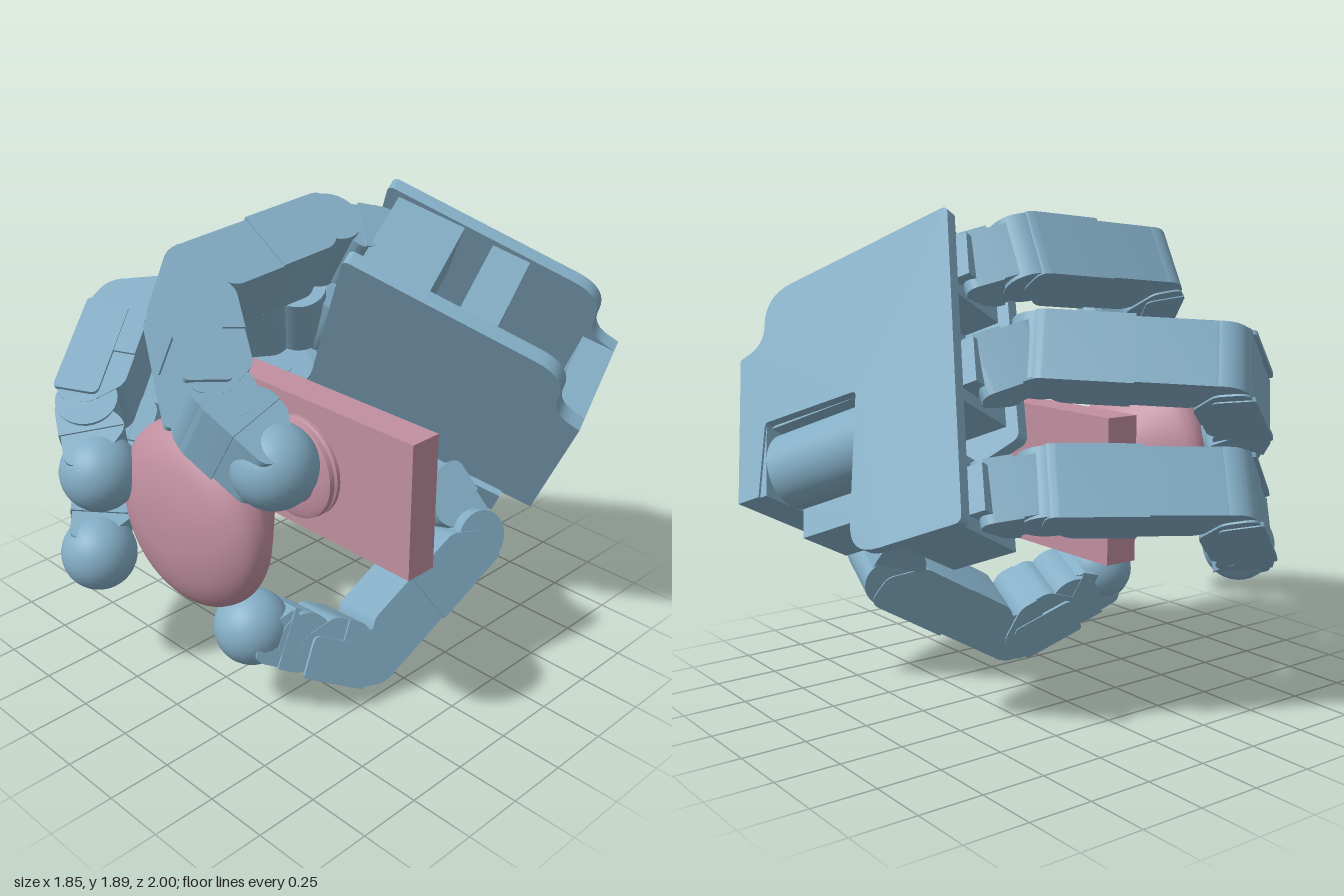
import * as THREE from 'three';
import { toCreasedNormals } from 'three/addons/utils/BufferGeometryUtils.js';

const V = (x, y, z) => new THREE.Vector3(x, y, z);
const metal = new THREE.MeshStandardMaterial({ color: 0x84aec6 });
const brass = new THREE.MeshStandardMaterial({ color: 0xc08fa0 });

function add(parent, name, geometry, material = metal) {
  const mesh = new THREE.Mesh(geometry, material);
  mesh.name = name;
  parent.add(mesh);
  return mesh;
}

function group(parent, name) {
  const g = new THREE.Group();
  g.name = name;
  parent.add(g);
  return g;
}

// Box given by its low and high corners
function block(parent, name, lo, hi, material) {
  const geo = new THREE.BoxGeometry(hi[0] - lo[0], hi[1] - lo[1], hi[2] - lo[2]);
  geo.translate((lo[0] + hi[0]) / 2, (lo[1] + hi[1]) / 2, (lo[2] + hi[2]) / 2);
  return add(parent, name, geo, material);
}

// Closed shape from corners [x, y, radius], each corner rounded by its radius
function roundedShape(corners) {
  const shape = new THREE.Shape();
  const n = corners.length;
  corners.forEach(([x, y, r = 0], i) => {
    const p = new THREE.Vector2(x, y);
    const toward = (c) => new THREE.Vector2(c[0], c[1]).sub(p).setLength(r).add(p);
    const a = r ? toward(corners[(i + n - 1) % n]) : p;
    if (i) shape.lineTo(a.x, a.y);
    else shape.moveTo(a.x, a.y);
    if (r) {
      const b = toward(corners[(i + 1) % n]);
      shape.quadraticCurveTo(x, y, b.x, b.y);
    }
  });
  shape.closePath();
  return shape;
}

function slab(corners, depth, z0 = 0) {
  const geo = new THREE.ExtrudeGeometry(roundedShape(corners), { depth, bevelEnabled: false, curveSegments: 8 });
  return toCreasedNormals(geo.translate(0, 0, z0), 0.6);
}

// One finger link from a to b: local x runs along it, y to the inside of the curl, z along the hinge
function link(parent, name, a, b, hinge, width, depth) {
  const g = group(parent, name);
  const along = b.clone().sub(a);
  const len = along.length();
  along.normalize();
  const inward = hinge.clone().cross(along).normalize();
  const axis = along.clone().cross(inward);
  g.applyMatrix4(new THREE.Matrix4().makeBasis(along, inward, axis).setPosition(a));
  const d = depth / 2;
  const s = -0.03, e = len + 0.02;
  // the far half is a little slimmer than the near half, leaving a seam
  const mid = len * 0.52;
  add(g, 'nearShell', slab([
    [s, -d, 0.05], [mid, -d], [mid, d], [0.09, d, 0.03], [s, d * 0.1, 0.03]], width, -width / 2));
  const farWidth = width - 0.016;
  add(g, 'farShell', slab([
    [mid - 0.01, -d + 0.006], [e, -d + 0.006, 0.05], [e, d * 0.1, 0.03],
    [len - 0.09, d, 0.03], [mid - 0.01, d]], farWidth, -farWidth / 2));
  return { g, len, d };
}

function hingePin(parent, at, hinge, radius, width) {
  const pin = add(parent, 'hinge', new THREE.CylinderGeometry(radius, radius, width, 28));
  pin.position.copy(at);
  pin.quaternion.setFromUnitVectors(V(0, 1, 0), hinge);
}

// Finger from its knuckle, two joints and fingertip centre
function finger(parent, name, [knuckle, joint, last, tip], width, depth = 0.235) {
  const g = group(parent, name);
  const hinge = joint.clone().sub(knuckle).cross(last.clone().sub(joint)).normalize();
  link(g, 'proximalLink', knuckle, joint, hinge, width, depth);
  const middle = link(g, 'middleLink', joint, last, hinge, width, depth);
  // thin side flanges along the back of the middle link
  for (const side of [-1, 1])
    add(middle.g, 'sideFlange', slab([
      [0.02, -middle.d - 0.014, 0.02], [middle.len - 0.02, -middle.d - 0.014, 0.02],
      [middle.len - 0.02, middle.d * 0.3, 0.03], [0.02, middle.d * 0.3, 0.03]],
    0.018, side * (width / 2 - 0.004) - 0.009));
  link(g, 'tipLink', last, tip, hinge, width * 0.94, depth);
  hingePin(g, knuckle, hinge, depth * 0.46, width * 0.96);
  hingePin(g, joint, hinge, depth * 0.48, width * 0.94);
  hingePin(g, last, hinge, depth * 0.48, width * 0.92);
  add(g, 'fingertip', new THREE.SphereGeometry(0.146, 32, 20)).position.copy(tip);
  return hinge;
}

// Palm in its own frame: x across the hand, y toward the fingers, z from back to palm face
function buildPalm(parent) {
  const palm = group(parent, 'palm');
  palm.applyMatrix4(new THREE.Matrix4()
    .makeBasis(V(0.5, 0.814, 0.29), V(-0.825, 0.349, 0.441), V(0.266, -0.45, 0.853))
    .setPosition(0.49, 0.786, -1));
  const outerEdge = [[0.62, 0], [0.65, 0.12, 0.08], [0.87, 0.13, 0.13], [0.92, 1.02, 0.03]];
  add(palm, 'backPlate', slab([
    [0, 0], ...outerEdge, [-0.35, 1.0, 0.03], [-0.35, 0.52, 0.13],
    [0.29, 0.57, 0.02], [0.3, 0.13, 0.02], [0, 0.1]], 0.05));
  add(palm, 'palmPlate', slab([[0, 0], ...outerEdge, [0.1, 1.02, 0.03], [0, 0.67, 0.03]], 0.06, 0.392));
  block(palm, 'wristBlock', [0, 0, 0.01], [0.62, 0.13, 0.44]);
  block(palm, 'innerWall', [0.29, 0.12, 0.04], [0.34, 0.75, 0.4]);
  block(palm, 'sidePillar', [0.72, 0.43, 0.04], [0.87, 0.58, 0.4]);
  // finger drives between the plates
  for (const x of [0.75, 0.3, -0.2]) {
    block(palm, 'fingerDrive', [x - 0.14, 0.7, 0.04], [x + 0.14, 0.97, 0.39]);
    block(palm, 'driveCap', [x - 0.09, 0.95, 0.09], [x + 0.09, 1.04, 0.32]);
  }
  // thumb drive in the notch, with its bracket under the thumb edge of the palm
  const drive = add(palm, 'thumbDrive', new THREE.CylinderGeometry(0.15, 0.15, 0.43, 40));
  drive.position.set(0.15, 0.345, 0.16);
  block(palm, 'thumbDriveBase', [0.01, 0.13, 0.16], [0.29, 0.56, 0.4]);
  block(palm, 'thumbBracket', [-0.11, 0.13, 0.22], [0.01, 0.56, 0.48]);
}

// Door plate with a turned knob on it
function buildKnob(parent) {
  const g = group(parent, 'doorKnob');
  block(g, 'doorPlate', [-0.46, 0.583, 0.02], [0.64, 1.135, 0.155], brass);
  const rose = [[0, 0.15], [0.19, 0.15], [0.203, 0.16], [0.203, 0.175], [0.19, 0.183],
    [0.203, 0.19], [0.2, 0.21], [0.18, 0.22], [0.13, 0.225], [0.11, 0.25]];
  const curve = new THREE.SplineCurve([[0.107, 0.26], [0.105, 0.36], [0.122, 0.41], [0.21, 0.5], [0.3, 0.59],
    [0.345, 0.64], [0.357, 0.685], [0.335, 0.745], [0.26, 0.8], [0.14, 0.835], [0, 0.845]]
    .map(([r, z]) => new THREE.Vector2(r, z)));
  const profile = [...rose.map(([r, z]) => new THREE.Vector2(r, z)), ...curve.getPoints(44)];
  profile[profile.length - 1].x = 0;
  const knob = add(g, 'knob', toCreasedNormals(new THREE.LatheGeometry(profile, 64), 0.6), brass);
  knob.rotation.x = Math.PI / 2;
  knob.position.set(0.09, 0.86, 0);
}

export function createModel() {
  const model = new THREE.Group();
  model.name = 'robotHandOnDoorKnob';
  buildPalm(model);
  buildKnob(model);

  // root in the palm, knuckle, two joints, fingertip
  const fingers = {
    indexFinger: [V(0.13, 1.64, -0.2), V(0.03, 1.7, 0), V(0, 1.645, 0.61), V(0.36, 1.39, 0.81), V(0.575, 1.25, 0.75)],
    middleFinger: [V(-0.11, 1.28, -0.31), V(-0.2, 1.35, -0.1), V(-0.62, 1.315, 0.42), V(-0.4, 1.09, 0.77), V(-0.245, 0.96, 0.855)],
    outerFinger: [V(-0.35, 0.87, -0.46), V(-0.46, 0.9, -0.26), V(-0.77, 0.88, 0.3), V(-0.52, 0.63, 0.66), V(-0.385, 0.535, 0.79)],
    thumb: [V(0.27, 0.66, -0.38), V(0.42, 0.47, -0.42), V(0.37, 0.145, 0.13), V(0.26, 0.28, 0.39), V(0.2, 0.355, 0.53)],
  };
  for (const [name, [root, ...joints]] of Object.entries(fingers)) {
    const hinge = finger(model, name, joints, name === 'thumb' ? 0.29 : 0.275);
    link(model, name + 'Mount', root, joints[0], hinge, 0.24, 0.21);
  }
  return model;
}
